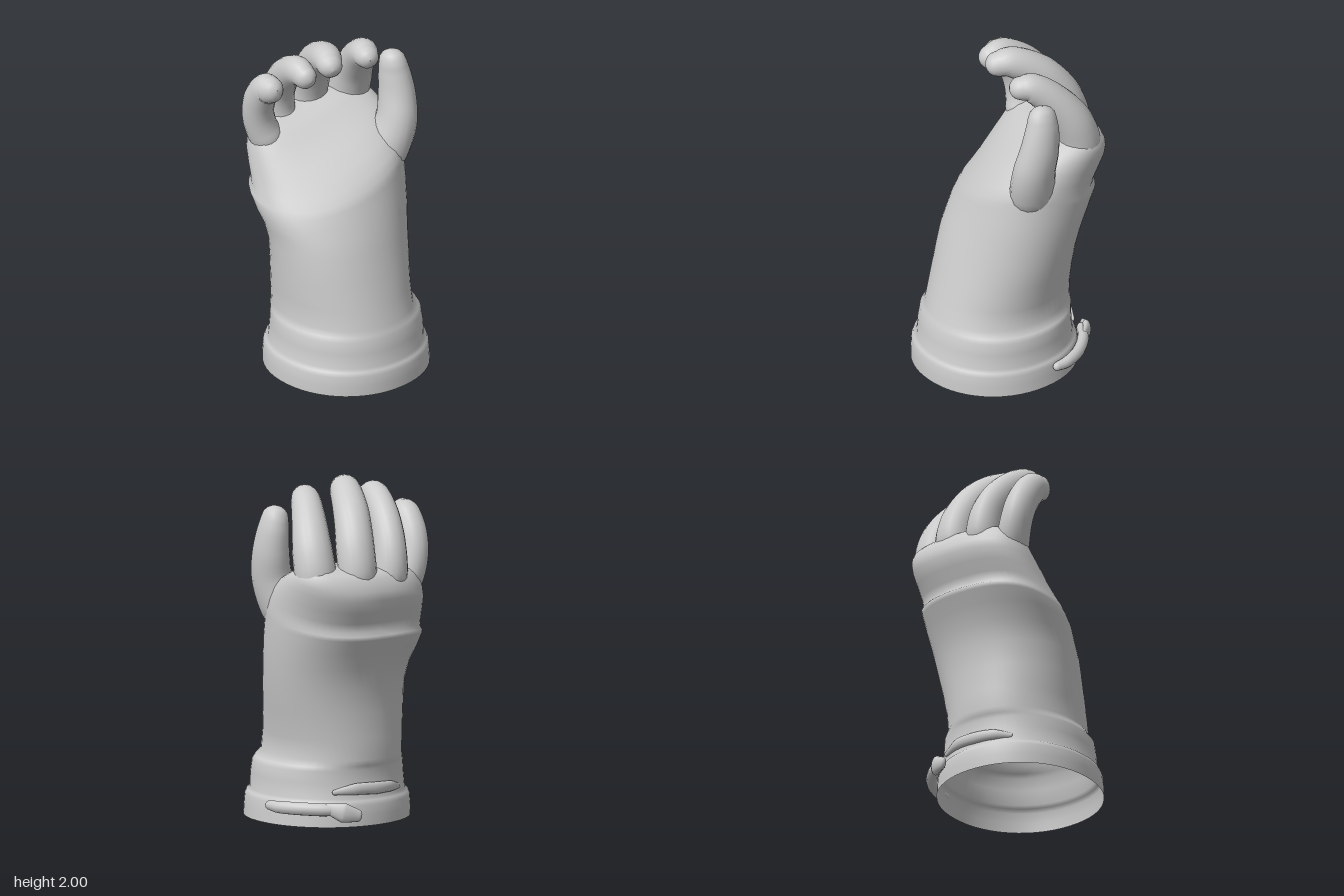
import * as THREE from 'three';

const material = new THREE.MeshStandardMaterial({ color: 0xcccccc, side: THREE.DoubleSide });

// Skin a list of equal-length closed rings
function loft(name, rings) {
  const n = rings[0].length, index = [];
  for (let r = 0; r < rings.length - 1; r++) {
    for (let j = 0; j < n; j++) {
      const k = (j + 1) % n;
      const a = r * n + j, b = a + n, c = (r + 1) * n + k, d = r * n + k;
      index.push(a, b, c, a, c, d);
    }
  }
  const g = new THREE.BufferGeometry().setFromPoints(rings.flat());
  g.setIndex(index);
  g.computeVertexNormals();
  const mesh = new THREE.Mesh(g, material);
  mesh.name = name;
  return mesh;
}

// Tapered limb along a curve, rounded at both ends; flat scales the second ring axis
function limb(name, points, radii, { ref = [1, 0, 0], flat = 1, sides = 20, steps = 28 } = {}) {
  const curve = new THREE.CatmullRomCurve3(points.map(p => new THREE.Vector3(...p)));
  const up = new THREE.Vector3(...ref);
  const rings = [];
  const addRing = (t, shift, scale) => {
    const f = t * (radii.length - 1), i = Math.min(Math.floor(f), radii.length - 2);
    const radius = THREE.MathUtils.lerp(radii[i], radii[i + 1], f - i);
    const dir = curve.getTangent(t);
    const u = up.clone().addScaledVector(dir, -up.dot(dir)).normalize();
    const v = u.clone().cross(dir);
    const c = curve.getPoint(t).addScaledVector(dir, shift * radius * Math.min(flat, 1));
    const ring = [];
    for (let j = 0; j < sides; j++) {
      const a = j / sides * Math.PI * 2;
      ring.push(c.clone().addScaledVector(u, Math.cos(a) * radius * scale)
        .addScaledVector(v, Math.sin(a) * radius * scale * flat));
    }
    rings.push(ring);
  };
  const cap = [0.02, 0.35, 0.65, 0.88];
  cap.forEach(s => addRing(0, -Math.sqrt(1 - s * s), s));
  for (let i = 0; i <= steps; i++) addRing(i / steps, 0, 1);
  cap.reverse().forEach(s => addRing(1, Math.sqrt(1 - s * s), s));
  return loft(name, rings);
}

// Cuff and sleeve sections: y, xMin, xMax, zBack, zFront
const sleeve = [
  [0.00, -0.50, 0.45, -0.41, 0.55],
  [0.06, -0.50, 0.445, -0.41, 0.55],
  [0.12, -0.495, 0.44, -0.405, 0.545],
  [0.145, -0.485, 0.43, -0.395, 0.535],
  [0.16, -0.465, 0.412, -0.38, 0.517],
  [0.25, -0.46, 0.41, -0.37, 0.51],
  [0.32, -0.455, 0.405, -0.365, 0.495],
  [0.345, -0.44, 0.39, -0.375, 0.483],
  [0.38, -0.42, 0.35, -0.385, 0.47],
  [0.50, -0.425, 0.36, -0.38, 0.435],
  [0.65, -0.432, 0.39, -0.375, 0.39],
  [0.80, -0.435, 0.42, -0.38, 0.345],
];

// Palm sections, with a sixth value: how far the front leans up and out to the thumb
const palm = [
  [0.92, -0.44, 0.44, -0.41, 0.31, 0.10],
  [1.02, -0.455, 0.455, -0.45, 0.275, 0.20],
  [1.10, -0.452, 0.46, -0.49, 0.25, 0.28],
  [1.125, -0.447, 0.462, -0.498, 0.24, 0.31],
  [1.15, -0.44, 0.46, -0.47, 0.228, 0.34],
  [1.20, -0.425, 0.46, -0.485, 0.195, 0.38],
  [1.27, -0.405, 0.46, -0.518, 0.125, 0.38],
  [1.34, -0.39, 0.46, -0.54, 0.035, 0.34],
  [1.39, -0.375, 0.455, -0.535, -0.04, 0.30],
  [1.43, -0.36, 0.445, -0.52, -0.10, 0.26],
  [1.465, -0.335, 0.42, -0.50, -0.155, 0.23],
  [1.49, -0.295, 0.38, -0.475, -0.20, 0.21],
  [1.505, -0.20, 0.28, -0.43, -0.26, 0.20],
  [1.51, 0.00, 0.04, -0.36, -0.34, 0.20],
];

function sectionRing([y, x0, x1, z0, z1, lean = 0]) {
  const ring = [], n = 56;
  for (let j = 0; j < n; j++) {
    const a = j / n * Math.PI * 2, cos = Math.cos(a), sin = Math.sin(a);
    // the knuckle corner behind the little finger is squarer
    const power = cos < 0 && sin < 0 ? 0.96 - 0.5 * lean : 0.96;
    const bend = v => Math.sign(v) * Math.abs(v) ** power;
    const x = (x0 + x1) / 2 + (x1 - x0) / 2 * bend(cos);
    const z = (z0 + z1) / 2 + (z1 - z0) / 2 * bend(sin);
    const slope = lean * x * (1 + sin) / 2;
    ring.push(new THREE.Vector3(x, y + slope, z + 0.4 * slope));
  }
  return ring;
}

export function createModel() {
  const glove = new THREE.Group();
  glove.name = 'glove';
  glove.add(loft('sleeveAndPalm', [...sleeve, ...palm].map(sectionRing)));

  // Four fingers curling towards the front
  glove.add(limb('indexFinger',
    [[0.26, 1.29, -0.22], [0.32, 1.44, -0.28], [0.315, 1.62, -0.235], [0.26, 1.78, -0.13], [0.20, 1.875, -0.02], [0.175, 1.88, 0.03]],
    [0.07, 0.125, 0.118, 0.1, 0.085, 0.072]));
  glove.add(limb('middleFinger',
    [[0.10, 1.29, -0.31], [0.105, 1.45, -0.385], [0.09, 1.64, -0.345], [0.03, 1.81, -0.23], [-0.05, 1.91, -0.07], [-0.085, 1.905, -0.005]],
    [0.07, 0.114, 0.112, 0.105, 0.09, 0.075]));
  glove.add(limb('ringFinger',
    [[-0.10, 1.29, -0.31], [-0.115, 1.44, -0.40], [-0.135, 1.62, -0.38], [-0.177, 1.78, -0.27], [-0.218, 1.868, -0.13], [-0.23, 1.86, -0.06]],
    [0.07, 0.102, 0.092, 0.086, 0.08, 0.067], { flat: 1.1 }));
  glove.add(limb('littleFinger',
    [[-0.22, 1.26, -0.25], [-0.275, 1.38, -0.335], [-0.32, 1.53, -0.355], [-0.342, 1.66, -0.32], [-0.355, 1.755, -0.25], [-0.362, 1.768, -0.21]],
    [0.06, 0.095, 0.09, 0.088, 0.083, 0.075], { flat: 1.1 }));

  // Thumb rising out of the heel of the hand
  glove.add(limb('thumb',
    [[0.22, 1.05, -0.06], [0.305, 1.25, 0.045], [0.36, 1.42, 0.085], [0.385, 1.57, 0.065], [0.385, 1.70, 0.045], [0.377, 1.775, 0.038]],
    [0.08, 0.13, 0.114, 0.104, 0.09, 0.077], { flat: 1.15 }));

  // Strap around the cuff with its loose end, and the fold across the back
  const band = { ref: [0, 1, 0], flat: 0.9, sides: 12 };
  glove.add(limb('cuffStrap',
    [[0.455, 0.11, -0.01], [0.45, 0.11, -0.09], [0.40, 0.112, -0.21], [0.305, 0.11, -0.32], [0.20, 0.105, -0.39]],
    [0.027, 0.036, 0.038, 0.038, 0.03], band));
  glove.add(limb('strapEnd',
    [[0.29, 0.12, -0.34], [0.22, 0.095, -0.41], [0.14, 0.075, -0.45]],
    [0.03, 0.058, 0.035], { ...band, flat: 0.5 }));
  glove.add(limb('backFold',
    [[0.22, 0.20, -0.315], [0.1, 0.215, -0.365], [-0.04, 0.21, -0.38], [-0.16, 0.205, -0.36], [-0.25, 0.19, -0.315]],
    [0.015, 0.034, 0.036, 0.032, 0.015], { ...band, flat: 0.6 }));
  return glove;
}
